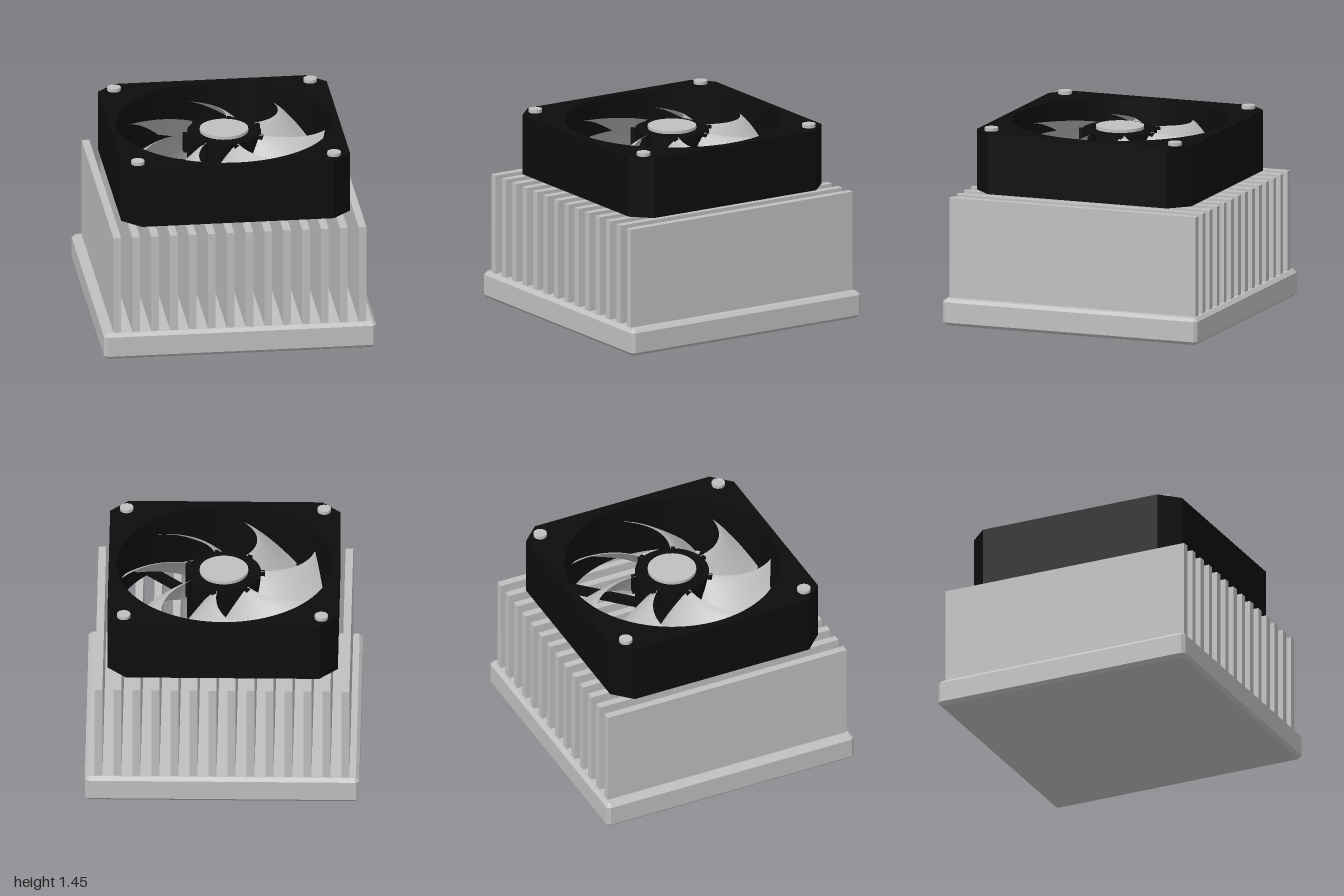
import * as THREE from 'three';

export function createModel() {
  const model = new THREE.Group();
  const metal = new THREE.MeshStandardMaterial({ name: 'silver metal', color: 0xc0c0c0 });
  const bladeMetal = new THREE.MeshStandardMaterial({ name: 'blade silver', color: 0xc0c0c0, side: THREE.DoubleSide });
  const black = new THREE.MeshStandardMaterial({ name: 'black plastic', color: 0x0d0d0d });

  const add = (name, geometry, material, x = 0, y = 0, z = 0, parent = model) => {
    const mesh = new THREE.Mesh(geometry, material);
    mesh.name = name;
    mesh.position.set(x, y, z);
    parent.add(mesh);
    return mesh;
  };

  // Square outline with cut corners
  const cutSquare = (h, c) => new THREE.Shape([
    [h, c - h], [h, h - c], [h - c, h], [c - h, h],
    [-h, h - c], [-h, c - h], [c - h, -h], [h - c, -h],
  ].map(([x, y]) => new THREE.Vector2(x, y)));

  // Bevelled base plate
  const base = new THREE.ExtrudeGeometry(cutSquare(0.975, 0.01), {
    depth: 0.15, bevelEnabled: true, bevelSegments: 1, bevelSize: 0.025, bevelThickness: 0.025,
  });
  base.rotateX(-Math.PI / 2);
  add('basePlate', base, metal, 0, 0.025, 0);

  // Row of cooling fins
  const finGeometry = new THREE.BoxGeometry(0.056, 0.75, 1.93);
  for (let i = 0; i < 14; i++) {
    add('coolingFin', finGeometry, metal, -0.9 + i * 1.8 / 13, 0.565, 0);
  }

  // Fan frame with round opening
  const outline = cutSquare(0.84, 0.135);
  outline.holes.push(new THREE.Path().absarc(0, 0, 0.785, 0, Math.PI * 2, true));
  const frame = new THREE.ExtrudeGeometry(outline, { depth: 0.45, bevelEnabled: false, curveSegments: 48 });
  frame.rotateX(-Math.PI / 2);
  add('fanFrame', frame, black, 0, 0.97, 0);

  // Corner screws
  const screw = new THREE.CylinderGeometry(0.05, 0.05, 0.035, 12);
  for (const x of [-0.72, 0.72]) {
    for (const z of [-0.72, 0.72]) add('cornerScrew', screw, metal, x, 1.4275, z);
  }

  // Diagonal struts under the rotor
  const strutGeometry = new THREE.BoxGeometry(0.6, 0.05, 0.06);
  for (let i = 0; i < 4; i++) {
    const a = Math.PI / 4 + i * Math.PI / 2;
    add('strut', strutGeometry, black, 0.5 * Math.cos(a), 1.0, -0.5 * Math.sin(a)).rotation.y = a;
  }

  // Hub and its cap
  add('hub', new THREE.CylinderGeometry(0.27, 0.27, 0.38, 40), black, 0, 1.165, 0);
  add('hubCap', new THREE.CylinderGeometry(0.177, 0.177, 0.03, 40), metal, 0, 1.363, 0);

  // Swept, twisted blade: lofted between its high and low edges
  const rad = Math.PI / 180;
  const edge = (r, deg, y) => new THREE.Vector3(r * Math.cos(deg * rad), y, -r * Math.sin(deg * rad));
  const blade = new THREE.PlaneGeometry(1, 1, 12, 16);
  const pos = blade.attributes.position;
  for (let i = 0; i < pos.count; i++) {
    const u = 0.5 - pos.getX(i), t = pos.getY(i) + 0.5;
    const r = 0.26 + 0.487 * t;
    const high = edge(r, 80 + 25.5 * t ** 1.7, 1.355 - 0.045 * t);
    const low = edge(r, 33 + 38.5 * t ** 1.1, 1.05 + 0.04 * t);
    const p = high.clone().lerp(low, 1 - u);
    p.y = high.y + (low.y - high.y) * (1 - u) ** 1.5;
    pos.setXYZ(i, p.x, p.y, p.z);
  }
  blade.computeVertexNormals();

  // Seven blades, each with a small root clip
  const clip = new THREE.BoxGeometry(0.06, 0.14, 0.05);
  for (let i = 0; i < 7; i++) {
    const rotor = new THREE.Group();
    rotor.name = 'rotorBlade';
    rotor.rotation.y = i * Math.PI * 2 / 7;
    add('blade', blade, bladeMetal, 0, 0, 0, rotor);
    const p = edge(0.27, 78, 1.28);
    add('rootClip', clip, black, p.x, p.y, p.z, rotor).rotation.y = 78 * rad;
    model.add(rotor);
  }
  return model;
}
